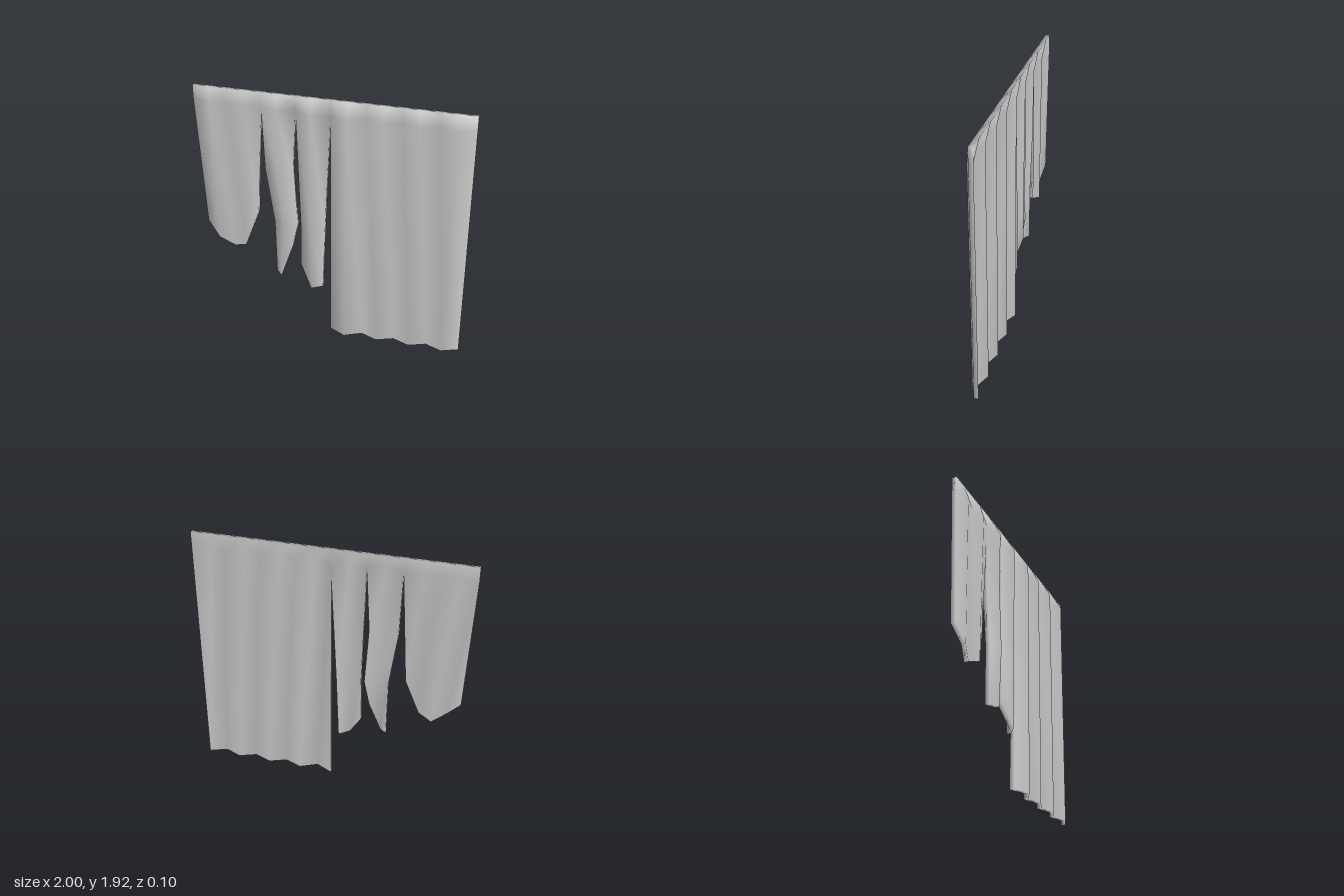
import * as THREE from 'three';

const TOP = 1.92, HEM = 1.82, THICK = 0.034, VALLEY = -0.014;
// front depth of each of the eight pleats, from the model's right to its left
const RIDGES = [0.018, 0.018, 0.035, 0.04, 0.048, 0.035, 0.035, 0.035];
const COLUMNS = 17;

// the torn strips: rows of [x, y] points hanging below the hem, one per column
const STRIPS = [
  { start: 0, rows: [[[-0.955, 0.83], [-0.86, 0.715], [-0.75, 0.64], [-0.65, 0.68], [-0.55, 0.96]]] },
  { start: 4, rows: [
    [[-0.485, 1.33], [-0.38, 1.33], [-0.277, 1.34]],
    [[-0.425, 0.9], [-0.34, 0.9], [-0.25, 0.9]],
    [[-0.42, 0.47], [-0.37, 0.46], [-0.29, 0.71]],
  ] },
  { start: 6, rows: [
    [[-0.225, 0.9], [-0.135, 0.9], [-0.042, 0.9]],
    [[-0.23, 0.56], [-0.135, 0.39], [-0.06, 0.385]],
  ] },
];
// the whole panel, reaching the ground
STRIPS.push({ start: 8, rows: [Array.from({ length: 9 }, (_, i) => [i / 8, 0])] });

function clothGeometry() {
  const positions = [], index = [], quads = [];
  const pleat = (c) => (c % 2 ? RIDGES[(c - 1) / 2] : VALLEY);

  // each point is a front vertex (even) followed by its back vertex (odd)
  const point = (x, y, z) => {
    positions.push(x, y, z, x, y, z - THICK);
    return positions.length / 3 - 2;
  };
  const fill = (upper, lower) => {
    for (let i = 0; i + 1 < upper.length; i++) {
      quads.push([upper[i], lower[i], lower[i + 1], upper[i + 1]]);
    }
  };

  // straight top edge fanning out into the pleats
  const top = [], hem = [];
  for (let c = 0; c < COLUMNS; c++) {
    const x = -1 + c / 8;
    top.push(point(x, TOP, VALLEY));
    hem.push(point(x, c === 8 ? 1.8 : HEM, pleat(c)));
  }
  fill(top, hem);

  // strips hanging from the shared hem row
  for (const { start, rows } of STRIPS) {
    let upper = hem.slice(start, start + rows[0].length);
    for (const row of rows) {
      const lower = row.map(([x, y], i) => point(x, y, pleat(start + i)));
      fill(upper, lower);
      upper = lower;
    }
  }

  // front and back faces, noting the directed edges
  const edges = new Map();
  for (const [a, b, c, d] of quads) {
    index.push(a, b, c, a, c, d);
    index.push(a + 1, c + 1, b + 1, a + 1, d + 1, c + 1);
    for (const [p, q] of [[a, b], [b, c], [c, d], [d, a]]) edges.set(`${p},${q}`, [p, q]);
  }
  // close the rim wherever an edge has no neighbour
  for (const [p, q] of edges.values()) {
    if (!edges.has(`${q},${p}`)) index.push(p, p + 1, q + 1, p, q + 1, q);
  }

  const geometry = new THREE.BufferGeometry();
  geometry.setAttribute('position', new THREE.Float32BufferAttribute(positions, 3));
  geometry.setIndex(index);
  geometry.computeVertexNormals();
  return geometry;
}

export function createModel() {
  const group = new THREE.Group();
  group.name = 'tornCurtain';
  const cloth = new THREE.Mesh(clothGeometry(), new THREE.MeshStandardMaterial({ color: 0xcccccc }));
  cloth.name = 'pleatedCloth';
  group.add(cloth);
  return group;
}
